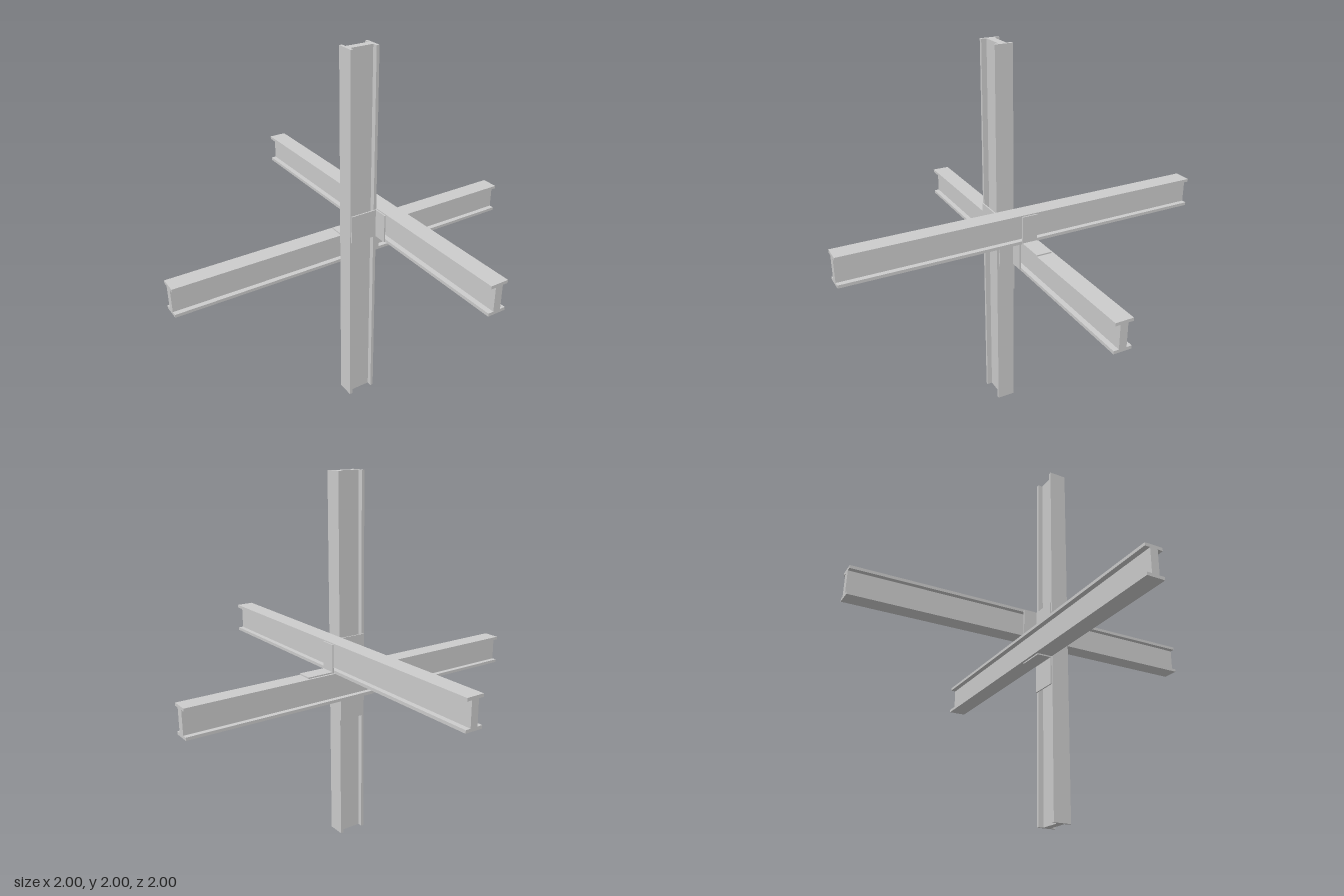
import * as THREE from 'three';

const DEPTH = 0.158, WIDTH = 0.095, FLANGE = 0.016, WEB = 0.04, LENGTH = 2;
const T = 0.007; // bracket plate thickness
// the three beams touch at this corner point
const CX = 0.079, CY = 1.003, CZ = 0.048;

export function createModel() {
  const model = new THREE.Group();
  const material = new THREE.MeshStandardMaterial({ color: 0xcccccc });

  // I section: flanges along x, web along y
  const h = DEPTH / 2, w = WIDTH / 2, f = h - FLANGE, b = WEB / 2;
  const section = new THREE.Shape([
    [-w, -h], [w, -h], [w, -f], [b, -f], [b, f], [w, f],
    [w, h], [-w, h], [-w, f], [-b, f], [-b, -f], [-w, -f],
  ].map(([x, y]) => new THREE.Vector2(x, y)));
  const beamGeometry = new THREE.ExtrudeGeometry(section, { depth: LENGTH, bevelEnabled: false });
  beamGeometry.translate(0, 0, -LENGTH / 2);

  // xAxis, yAxis, zAxis: where the section's own axes point
  function beam(name, axes, position) {
    const mesh = new THREE.Mesh(beamGeometry, material);
    mesh.name = name;
    mesh.setRotationFromMatrix(new THREE.Matrix4().makeBasis(...axes.map(a => new THREE.Vector3(...a))));
    mesh.position.set(...position);
    model.add(mesh);
  }
  const X = [1, 0, 0], Y = [0, 1, 0], Z = [0, 0, 1];
  beam('depthBeam', [X, Y, Z], [CX + w, CY + h, 0]);
  beam('crossBeam', [Z, [0, -1, 0], X], [0, CY - h, CZ - w]);
  beam('column', [Z, X, Y], [CX - h, 1, CZ + w]);

  // A bracket is a group of plates, each given as x, y and z ranges
  function bracket(name, plates) {
    const group = new THREE.Group();
    group.name = name;
    for (const [x, y, z] of plates) {
      const mesh = new THREE.Mesh(
        new THREE.BoxGeometry(x[1] - x[0], y[1] - y[0], z[1] - z[0]), material);
      mesh.name = 'bracketPlate';
      mesh.position.set((x[0] + x[1]) / 2, (y[0] + y[1]) / 2, (z[0] + z[1]) / 2);
      group.add(mesh);
    }
    model.add(group);
  }
  const long = 0.152, short = 0.083;

  // Three-sided corner brackets in the two open corners
  function cornerBracket(name, sx, sy, sz, lx, ly, lz) {
    const span = (c, s, l) => s > 0 ? [c, c + l] : [c - l, c];
    const x = span(CX, sx, lx), y = span(CY, sy, ly), z = span(CZ, sz, lz);
    bracket(name, [
      [span(CX, sx, T), y, z],
      [x, span(CY, sy, T), z],
      [x, y, span(CZ, sz, T)],
    ]);
  }
  cornerBracket('upperRearCornerBracket', -1, 1, -1, long, long, short);
  cornerBracket('lowerFrontCornerBracket', 1, -1, 1, short, long, short);

  // Angle brackets on the outer side of each joint
  const sideX = CX + WIDTH, underY = CY - DEPTH, frontZ = CZ + WIDTH;
  const xs = [CX - long, CX], ys = [CY, CY + long], zs = [CZ - short, CZ];
  bracket('sideAngleBracket', [
    [[sideX, sideX + T], ys, zs],
    [[sideX, sideX + long], [CY, CY + T], zs],
  ]);
  bracket('lowerAngleBracket', [
    [xs, [underY - T, underY], zs],
    [xs, [underY - long, underY], [CZ - T, CZ]],
  ]);
  bracket('frontAngleBracket', [
    [xs, ys, [frontZ, frontZ + T]],
    [[CX - T, CX], ys, [frontZ, frontZ + short]],
  ]);
  return model;
}
